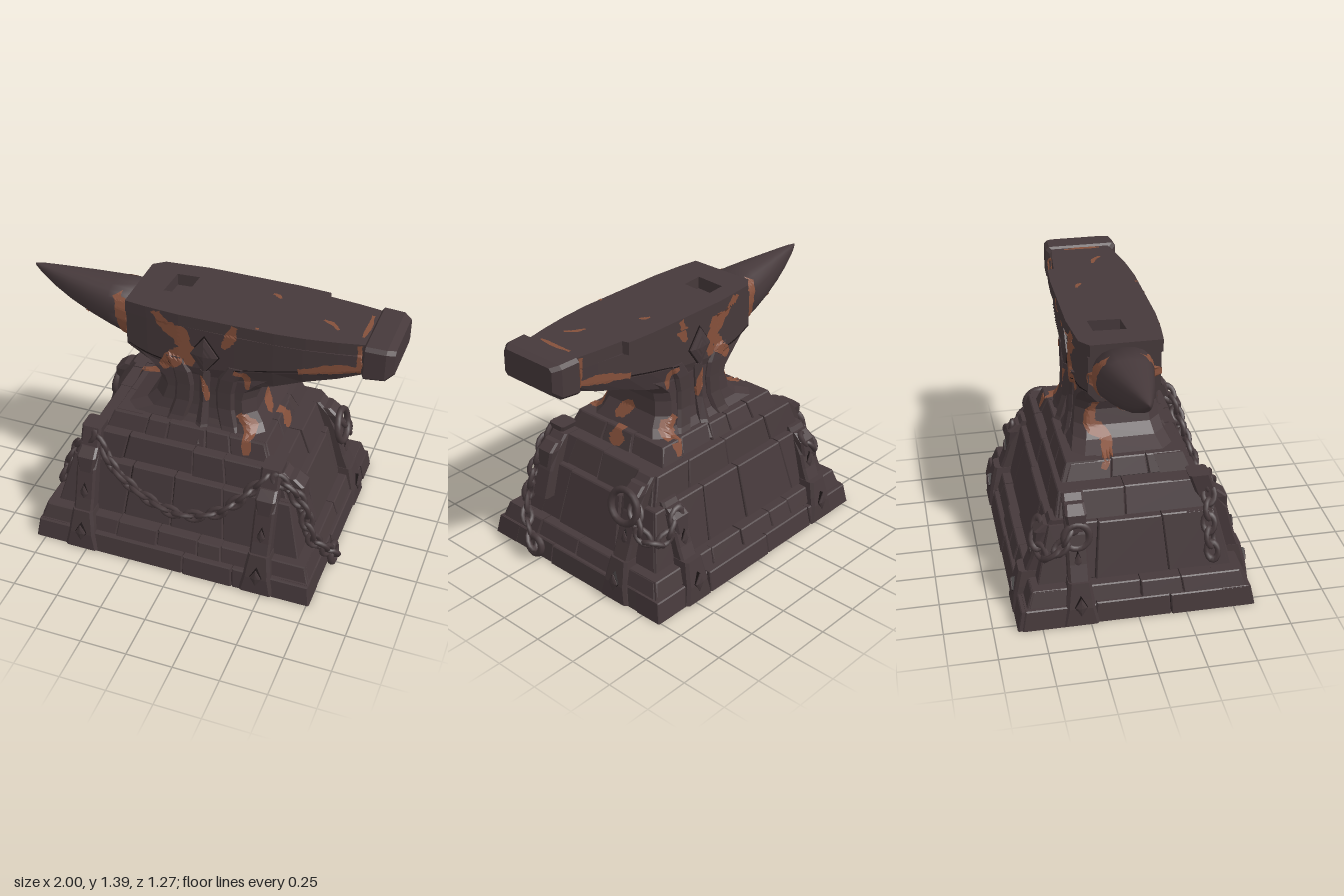
import * as THREE from 'three';

const V = (x, y, z) => new THREE.Vector3(x, y, z);
const UP = V(0, 1, 0);
const lerp = THREE.MathUtils.lerp;

export function createModel() {
  const model = new THREE.Group();
  const mat = (name, color, side = THREE.FrontSide, flatShading = true) =>
    Object.assign(new THREE.MeshStandardMaterial({ color, side, flatShading }), { name });
  const iron = mat('dark iron', 0x46393b);
  const smoothIron = mat('dark iron smooth', 0x46393b, THREE.FrontSide, false);
  const gap = mat('black joint', 0x1c1516, THREE.DoubleSide);
  const rust = mat('rust', 0x85503b, THREE.DoubleSide);
  let seed = 7;
  const rnd = () => (seed = (seed * 16807) % 2147483647) / 2147483647;
  const targets = []; // surfaces that can carry painted streaks
  const add = (name, geo, material = iron, parent = model) => {
    const m = new THREE.Mesh(geo, material);
    m.name = name;
    parent.add(m);
    return m;
  };
  const group = (name, x = 0) => {
    const g = new THREE.Group();
    g.name = name;
    g.position.x = x;
    model.add(g);
    return g;
  };
  // side k: 0 front, 1 +x, 2 back, 3 -x; u runs along the wall, out points away from it
  const at = (k, u, y, out) => V(u, y, out).applyAxisAngle(UP, k * Math.PI / 2);

  // closed skin through equal-length rings, turned outward by its signed volume
  function loft(rings) {
    const n = rings[0].length, pts = rings.flat(), idx = [];
    for (let r = 0; r < rings.length - 1; r++) for (let i = 0; i < n; i++) {
      const a = r * n + i, b = r * n + (i + 1) % n;
      idx.push(a, b, b + n, a, b + n, a + n);
    }
    const e = (rings.length - 1) * n;
    for (let i = 1; i < n - 1; i++) idx.push(0, i + 1, i, e, e + i, e + i + 1);
    let vol = 0;
    for (let i = 0; i < idx.length; i += 3) vol += pts[idx[i]].dot(pts[idx[i + 1]].clone().cross(pts[idx[i + 2]]));
    if (vol < 0) idx.reverse();
    const g = new THREE.BufferGeometry().setFromPoints(pts);
    g.setIndex(idx);
    g.computeVertexNormals();
    return g;
  }
  const octagon = (a0, a1, b0, b1, c, f) => [[a0 + c, b0], [a1 - c, b0], [a1, b0 + c], [a1, b1 - c],
    [a1 - c, b1], [a0 + c, b1], [a0, b1 - c], [a0, b0 + c]].map(([a, b]) => f(a, b));

  // stone courses: y0, y1, half x bottom/top, half z bottom/top, blocks on long/short walls
  const courses = [
    [0, 0.112, 0.785, 0.77, 0.62, 0.6, 4, 3], [0.114, 0.202, 0.76, 0.735, 0.58, 0.555, 7, 4],
    [0.204, 0.502, 0.685, 0.61, 0.51, 0.44, 4, 3], [0.504, 0.652, 0.58, 0.53, 0.4, 0.372, 4, 2],
    [0.654, 0.748, 0.455, 0.42, 0.335, 0.305, 5, 3]];
  const plinth = group('stonePlinth', -0.02);
  for (const [y0, y1, x0, x1, z0, z1, nl, ns] of courses) {
    const rect = (y, x, z) => [V(-x, y, -z), V(x, y, -z), V(x, y, z), V(-x, y, z)];
    const s = 0.014;
    add('courseCore', loft([rect(y0 ? y0 - 0.03 : 0.004, x0 - s, z0 - s), rect(y1 - 0.012, x1 - s, z1 - s)]), gap, plinth);
    for (let k = 0; k < 4; k++) {
      const long = k % 2 === 0, n = long ? nl : ns;
      const [o0, o1, h0, h1] = long ? [z0, z1, x0, x1] : [x0, x1, z0 - 0.015, z1 - 0.015];
      const cuts = [-1];
      for (let i = 1; i < n; i++) cuts.push(-1 + 2 * (i + (rnd() - 0.5) * 0.45) / n);
      cuts.push(1);
      for (let i = 0; i < n; i++) {
        const push = (rnd() - 0.5) * 0.016, drop = rnd() * 0.006, b = 0.006;
        const ring = (depth, inset) => [[0, 0], [1, 0], [1, 1], [0, 1]].map(([a, t]) => {
          const u = lerp(cuts[i], cuts[i + 1], a) * (t ? h1 : h0) + (a ? -1 : 1) * (0.002 + inset);
          return at(k, u, t ? y1 - drop - inset : y0 + (y0 ? inset * 0.5 : 0), (t ? o1 : o0) + depth);
        });
        targets.push(add('stoneBlock', loft([ring(-0.16, 0), ring(push - b, 0), ring(push, b)]), iron, plinth));
      }
    }
  }
  const floor = new THREE.BoxGeometry(1.53, 0.008, 1.2);
  floor.translate(0, 0.004, 0);
  add('plinthUnderside', floor, iron, plinth);

  // anvil waist: y, left x, right x, half depth
  const waist = [[0.66, -0.42, 0.38, 0.28], [0.745, -0.40, 0.37, 0.265], [0.785, -0.30, 0.345, 0.24],
    [0.84, -0.25, 0.31, 0.226], [0.92, -0.225, 0.30, 0.216], [0.97, -0.24, 0.31, 0.214],
    [1.03, -0.30, 0.37, 0.212], [1.09, -0.38, 0.46, 0.2]];
  targets.push(add('anvilWaist', loft(waist.map(([y, a, b, w]) => octagon(a, b, -w, w, 0.06, (x, z) => V(x, y, z))))));

  // anvil body: x, half depth, lower edge of the face, underside y, underside half depth
  const body = [[-0.4, 0.185, 1.11, 1.06, 0.14], [-0.28, 0.205, 1.08, 1.02, 0.17], [-0.1, 0.222, 1.06, 0.98, 0.2],
    [0.2, 0.224, 1.1, 0.98, 0.2], [0.4, 0.22, 1.14, 1.04, 0.195], [0.55, 0.21, 1.17, 1.10, 0.185],
    [0.72, 0.185, 1.2, 1.15, 0.165], [0.86, 0.16, 1.23, 1.2, 0.14]];
  targets.push(add('anvilBody', loft(body.map(([x, w, m, y, b]) =>
    [[w, 1.31], [w, m], [b, y], [-b, y], [-w, m], [-w, 1.31]].map(([z, h]) => V(x, h, z))))));

  // top plate with the square tool hole; the back edge has a step
  const plate = new THREE.Shape([[-0.4, -0.195], [-0.28, -0.21], [-0.1, -0.222], [0.4, -0.218], [0.56, -0.205], [0.72, -0.18],
    [0.86, -0.15], [0.86, 0.165], [0.72, 0.185], [0.57, 0.2], [0.56, 0.235], [0.4, 0.245], [-0.1, 0.245], [-0.34, 0.222], [-0.4, 0.175]]
    .map(p => new THREE.Vector2(...p)));
  plate.holes.push(new THREE.Path([[-0.25, -0.04], [-0.24, 0.13], [-0.12, 0.14], [-0.13, -0.03]].map(p => new THREE.Vector2(...p))));
  const face = new THREE.ExtrudeGeometry(plate, { depth: 0.068, bevelEnabled: false });
  face.rotateX(-Math.PI / 2);
  face.translate(0, 1.308, 0);
  targets.push(add('anvilFace', face));

  // horn: x, top y, bottom y, half depth
  const horn = [[-1, 1.352, 1.34, 0.004], [-0.96, 1.356, 1.305, 0.022], [-0.88, 1.358, 1.245, 0.046], [-0.78, 1.358, 1.19, 0.074],
    [-0.66, 1.357, 1.142, 0.106], [-0.54, 1.355, 1.102, 0.132], [-0.39, 1.352, 1.06, 0.158]];
  targets.push(add('horn', loft(horn.map(([x, t, b, w]) => Array.from({ length: 20 }, (_, i) => {
    const a = i / 20 * Math.PI * 2, s = Math.sin(a), c = Math.cos(a);
    return V(x, (t + b) / 2 + (t - b) / 2 * Math.sign(s) * Math.abs(s) ** 0.8, w * Math.sign(c) * Math.abs(c) ** 0.8 - 0.01);
  }))), smoothIron));

  // heel block
  const heel = [[0.84, 0.18, 1.21, 1.37], [0.855, 0.2, 1.195, 1.388], [0.96, 0.195, 1.205, 1.386], [1.0, 0.165, 1.235, 1.374]];
  targets.push(add('heelBlock', loft(heel.map(([x, w, a, b]) => octagon(-w, w, a, b, 0.018, (z, y) => V(x, y, z))))));

  // diamond boss: dark outline, rim and raised point
  const diamond = (k, u, y, out, w, h, d, parent) => {
    const ring = (s, o) => [[-w, 0], [0, -h], [w, 0], [0, h]].map(([a, b]) => at(k, u + a * s, y + b * s, out + o));
    add('diamondOutline', loft([ring(1.1, -0.03), ring(1.1, d * 0.2)]), gap, parent);
    add('diamondBoss', loft([ring(1, -0.03), ring(1, d * 0.6), ring(0.6, d), ring(0.05, d * 1.2)]), iron, parent);
  };

  // ribs and framed diamond on both faces of the waist
  const ornament = group('waistOrnament');
  for (const k of [0, 2]) {
    const c = k ? -0.04 : 0.04;
    diamond(k, c, 1.165, 0.222, 0.075, 0.105, 0.02, ornament);
    diamond(k, c, 1.165, 0.236, 0.036, 0.052, 0.01, ornament);
    const post = [[0.67, 0.04, 0.335], [0.76, 0.032, 0.285], [0.88, 0.024, 0.25], [1.07, 0.03, 0.24]];
    targets.push(add('centreRib', loft(post.map(([y, w, o]) => [at(k, c - w, y, 0.18), at(k, c - w, y, o - 0.02), at(k, c, y, o),
      at(k, c + w, y, o - 0.02), at(k, c + w, y, 0.18)])), iron, ornament));
    for (const s of [-1, 1]) {
      const rib = [[0.70, 0.17, 0.295], [0.77, 0.14, 0.262], [0.86, 0.115, 0.24], [0.96, 0.11, 0.235],
        [1.04, 0.125, 0.235], [1.12, 0.17, 0.23]];
      targets.push(add('curvedRib', loft(rib.map(([y, u, o]) =>
        octagon(-0.05, 0.05, 0.17, o, 0.015, (a, b) => at(k, c + s * u + a, y, b)))), iron, ornament));
    }
  }

  // iron straps with a flared foot, following the stepped wall; the back ones stop lower
  const xPath = [[0.2, 0.755], [0.32, 0.71], [0.47, 0.665], [0.58, 0.615], [0.65, 0.55]];
  const strapPaths = [[[0.2, 0.59], [0.3, 0.555], [0.47, 0.51], [0.54, 0.46], [0.68, 0.41]], xPath,
    [[0.2, 0.57], [0.3, 0.53], [0.38, 0.505], [0.46, 0.46], [0.525, 0.42]], xPath];
  const straps = group('straps', -0.02);
  function strap(k, u, foot = true) {
    const path = strapPaths[k], edge = k % 2 ? 0.785 : 0.62;
    const rows = (list, c) => loft(list.map(([y, o, w]) => octagon(-w, w, o - 0.11, o, c, (a, b) => at(k, u + a, y, b))));
    add('strapBand', rows(path.slice(foot ? 0 : 1).map(([y, o]) => [y, o, 0.055]), 0.012), iron, straps);
    const [hy, ho] = path[3];
    add('strapHook', rows([[hy - 0.09, ho + 0.055, 0.042], [hy, ho + 0.045, 0.055], [hy + 0.04, ho - 0.005, 0.05]], 0.012), iron, straps);
    if (!foot) return;
    add('strapFoot', rows([[0.005, edge + 0.012, 0.095], [0.1, edge + 0.002, 0.075], [0.15, edge - 0.01, 0.07], [0.235, edge - 0.03, 0.058]], 0.015), iron, straps);
    diamond(k, u, 0.11, edge, 0.03, 0.055, 0.014, straps);
    diamond(k, u, 0.33, path[1][1] - 0.012, 0.022, 0.055, 0.012, straps);
  }
  [[0, -0.51], [0, 0.49], [2, 0.54], [2, -0.49], [1, 0.3], [3, -0.3]].forEach(p => strap(...p));
  strap(1, -0.33, false);

  // chains: alternating links along a curve
  const link = new THREE.TorusGeometry(0.03, 0.0145, 6, 12);
  link.scale(1.5, 1, 1);
  const chain = (name, pts) => {
    const g = group(name), curve = new THREE.CatmullRomCurve3(pts.map(p => V(...p)));
    const n = Math.round(curve.getLength() / 0.068);
    for (let i = 0; i <= n; i++) {
      const p = curve.getPointAt(i / n), t = curve.getTangentAt(i / n);
      const side = V(p.x * 0.5, 0.1, p.z).cross(t).normalize();
      const m = add('chainLink', link, smoothIron, g);
      m.quaternion.setFromRotationMatrix(new THREE.Matrix4().makeBasis(t, side, t.clone().cross(side)));
      m.rotateX(i % 2 ? 1.1 : 0.15);
      m.position.copy(p);
    }
  };
  chain('frontChain', [[-0.47, 0.6, 0.43], [-0.38, 0.48, 0.465], [-0.2, 0.365, 0.495], [0, 0.315, 0.51], [0.2, 0.37, 0.495], [0.34, 0.5, 0.465], [0.43, 0.61, 0.43]]);
  chain('rightChain', [[0.52, 0.62, 0.41], [0.61, 0.53, 0.4], [0.66, 0.43, 0.4], [0.695, 0.3, 0.41], [0.755, 0.19, 0.36], [0.79, 0.1, 0.29]]);
  chain('backRightChain', [[0.64, 0.49, -0.34], [0.665, 0.41, -0.39], [0.63, 0.35, -0.46], [0.55, 0.39, -0.49], [0.49, 0.46, -0.48]]);
  chain('backLeftChain', [[-0.65, 0.51, -0.3], [-0.69, 0.41, -0.38], [-0.66, 0.35, -0.46], [-0.6, 0.39, -0.49], [-0.55, 0.46, -0.48]]);
  chain('leftChain', [[-0.54, 0.62, 0.41], [-0.61, 0.54, 0.4], [-0.67, 0.42, 0.39], [-0.71, 0.3, 0.4]]);

  // hanging rings
  for (const [x, y, z, r, tilt] of [[0.66, 0.51, -0.28, 0.09, 0.2], [-0.685, 0.46, -0.3, 0.065, -0.15], [0.79, 0.085, 0.27, 0.05, 0.1]]) {
    const ring = add('hangingRing', new THREE.TorusGeometry(r, 0.019, 8, 20), smoothIron);
    ring.position.set(x, y, z);
    ring.rotation.set(0, Math.PI / 2, tilt, 'ZYX');
  }

  // thin painted streaks laid on the surface: dir 0-3 is a side, 4 is the top
  model.updateMatrixWorld(true);
  const caster = new THREE.Raycaster();
  function streak(name, material, dir, pts, width, lift = 0.004) {
    const curve = new THREE.CatmullRomCurve3(pts.map(([a, b]) => V(a, b, 0))), n = pts.length * 6, pos = [];
    const hit = (a, b) => {
      caster.set(dir === 4 ? V(a, 3, b) : at(dir, a, b, 3), dir === 4 ? V(0, -1, 0) : at(dir, 0, 0, -1));
      const h = caster.intersectObjects(targets, false)[0];
      return h && h.point.addScaledVector(h.face.normal, lift);
    };
    let last = null, l = -width, r = width;
    for (let i = 0; i <= n; i++) {
      const p = curve.getPoint(i / n), t = curve.getTangent(i / n);
      const taper = width * (0.35 + 0.65 * Math.sin(Math.PI * i / n));
      l = lerp(l, -taper * (0.6 + rnd() * 0.8), 0.5);
      r = lerp(r, taper * (0.6 + rnd() * 0.8), 0.5);
      const row = [0, 1, 2, 3, 4].map(j => hit(p.x - t.y * lerp(l, r, j / 4), p.y + t.x * lerp(l, r, j / 4)));
      if (last) for (let j = 0; j < 4; j++) {
        const q = [last[j], last[j + 1], row[j + 1], row[j]];
        if (q.every(Boolean) && q[0].distanceTo(q[2]) < 0.09 && q[1].distanceTo(q[3]) < 0.09)
          pos.push(q[0], q[1], q[2], q[0], q[2], q[3]);
      }
      last = row;
    }
    const g = new THREE.BufferGeometry().setFromPoints(pos);
    g.computeVertexNormals();
    add(name, g, material);
  }
  const bothFaces = [[[[-0.23, 1.37], [-0.18, 1.3], [-0.09, 1.24], [-0.04, 1.15], [-0.05, 1.08]], 0.046],
    [[[-0.06, 1.2], [-0.12, 1.11], [-0.2, 1.03]], 0.042], [[[-0.15, 1.29], [-0.08, 1.3], [-0.04, 1.24]], 0.014],
    [[[0.2, 1.37], [0.18, 1.3], [0.14, 1.23]], 0.028], [[[-0.49, 1.33], [-0.44, 1.23], [-0.44, 1.1]], 0.04],
    [[[0.53, 1.18], [0.68, 1.215], [0.82, 1.235]], 0.026], [[[0.2, 1.1], [0.26, 1.08], [0.27, 1.0]], 0.02],
    [[[0.23, 0.84], [0.29, 0.78], [0.31, 0.67]], 0.034], [[[0.82, 1.37], [0.832, 1.28], [0.825, 1.21]], 0.018],
    [[[0.03, 1.04], [0.05, 0.96], [0.06, 0.89]], 0.014], [[[-0.69, 1.18], [-0.67, 1.165]], 0.014]];
  for (const dir of [0, 2]) {
    const s = dir ? -1 : 1;
    for (const [pts, w] of bothFaces) streak('rustStreak', rust, dir, pts.map(([a, b]) => [a * s, b]), w);
    for (const pts of [[[-0.39, 1.12], [-0.28, 1.09], [-0.1, 1.07]], [[0.2, 1.11], [0.4, 1.15], [0.55, 1.18], [0.72, 1.21]]])
      streak('engravedLine', gap, dir, pts.map(([a, b]) => [a * s, b]), 0.004, 0.003);
  }
  streak('rustStreak', rust, 1, [[0.02, 0.86], [-0.02, 0.83], [-0.08, 0.78]], 0.036);
  streak('rustStreak', rust, 1, [[0, 0.75], [0, 0.7], [0.01, 0.66]], 0.052);
  streak('rustStreak', rust, 1, [[0, 1.09], [0, 1.04]], 0.024);
  streak('rustStreak', rust, 1, [[-0.1, 0.98], [-0.06, 0.96]], 0.024);
  streak('rustStreak', rust, 3, [[-0.12, 0.98], [-0.15, 0.86], [-0.08, 0.79], [-0.12, 0.7]], 0.034);
  for (const pts of [[[0.29, -0.12], [0.32, -0.11], [0.34, -0.09]], [[0.6, 0.02], [0.65, 0.04], [0.69, 0.08]],
    [[-0.5, 0.1], [-0.45, 0.11], [-0.42, 0.12]], [[0.31, 0.2], [0.32, 0.27], [0.3, 0.32]], [[0.82, -0.1], [0.825, 0], [0.82, 0.1]]])
    streak('rustStreak', rust, 4, pts, 0.013);
  return model;
}
